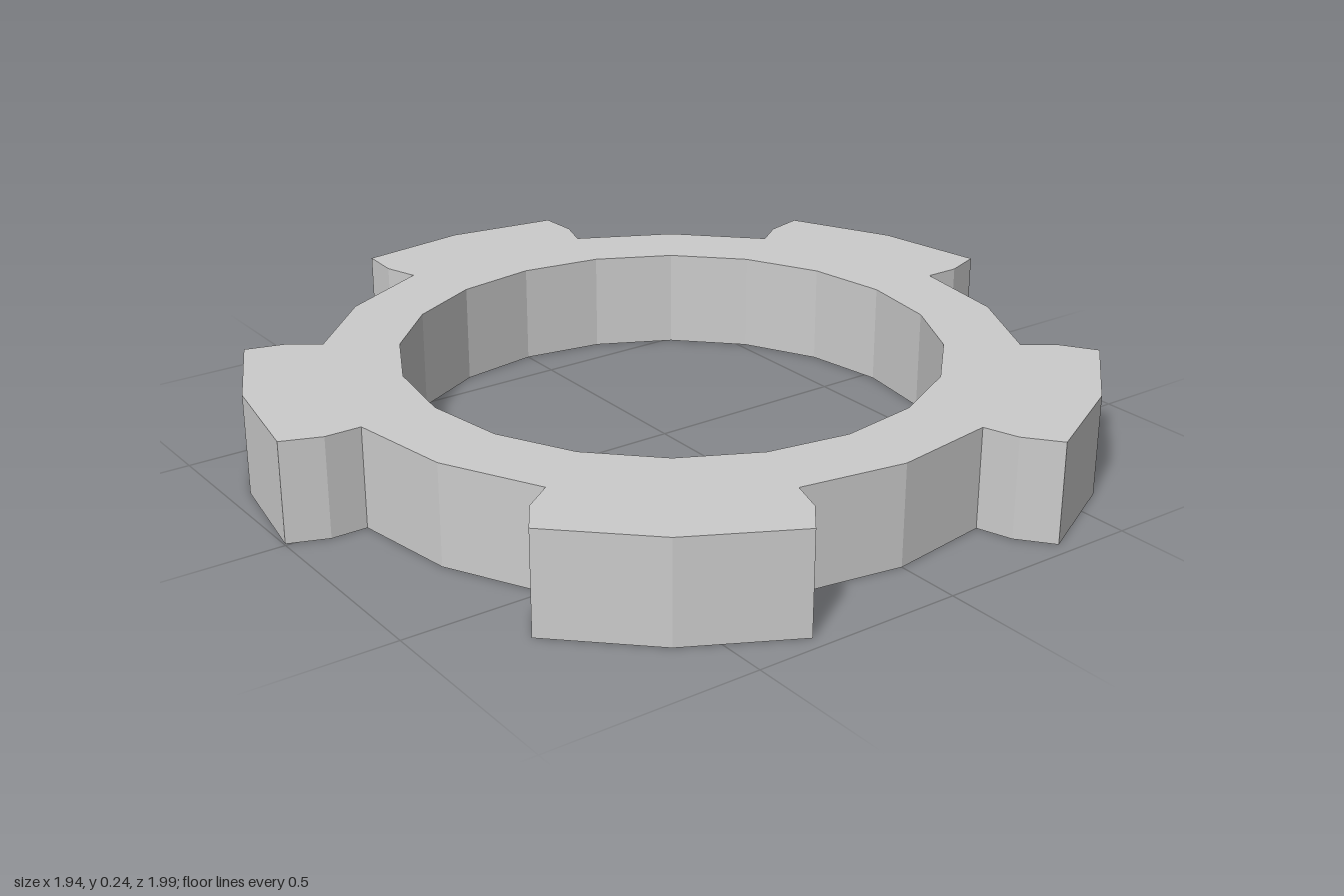
import * as THREE from 'three';

const TEETH = 5;
const HEIGHT = 0.24;
const CENTRE_X = 0.028; // the five-fold outline is centred by its bounds

const polar = (r, degrees) => {
  const a = THREE.MathUtils.degToRad(degrees);
  return new THREE.Vector2(r * Math.cos(a), r * Math.sin(a));
};

export function createModel() {
  const group = new THREE.Group();
  group.name = 'gearRing';

  // One tooth and the valley after it: [radius, angle from tooth centre]
  const tooth = [
    [0.818, -18], [0.905, -18], [0.998, -16], [0.998, 0],
    [0.998, 16], [0.905, 18], [0.818, 18], [0.818, 36],
  ];
  const outline = [];
  for (let i = 0; i < TEETH; i++) {
    const middle = 180 + (i * 360) / TEETH;
    for (const [r, a] of tooth) outline.push(polar(r, middle + a));
  }
  const shape = new THREE.Shape(outline);

  // Twenty-sided bore
  const bore = [];
  for (let i = 0; i < 20; i++) bore.push(polar(0.638, -i * 18));
  shape.holes.push(new THREE.Path(bore));

  // Lay the plate flat on the ground
  const geometry = new THREE.ExtrudeGeometry(shape, { depth: HEIGHT, bevelEnabled: false });
  geometry.rotateX(-Math.PI / 2);
  geometry.translate(CENTRE_X, 0, 0);

  const ring = new THREE.Mesh(
    geometry,
    new THREE.MeshStandardMaterial({ color: 0xcccccc, flatShading: true })
  );
  ring.name = 'toothedRing';
  group.add(ring);
  return group;
}
